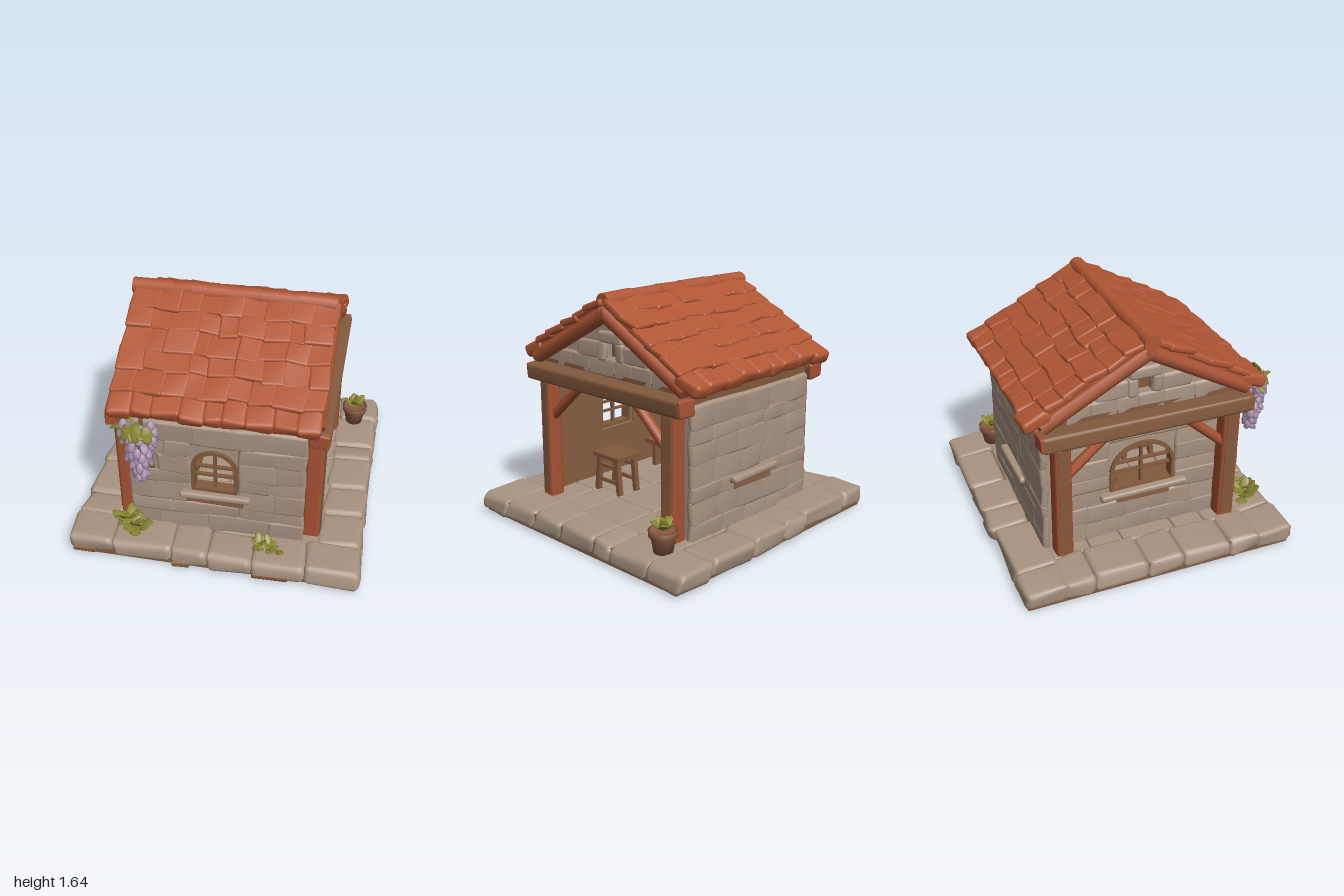
import * as THREE from 'three';
import { mergeGeometries, mergeVertices } from 'three/addons/utils/BufferGeometryUtils.js';
import { RoundedBoxGeometry } from 'three/addons/geometries/RoundedBoxGeometry.js';

const paint = (name, color) => Object.assign(new THREE.MeshStandardMaterial({ color }), { name });
const M = {
  stone: paint('stone', 0xa89381), roof: paint('roof tile', 0xb05634), redWood: paint('red wood', 0xa65233),
  wood: paint('wood', 0x835a3d), earth: paint('earth', 0x885d40), leaf: paint('leaf', 0x8a8732),
  flower: paint('blossom', 0xa890ac), cloth: paint('cloth', 0x86738a), pot: paint('clay', 0x8a5b41),
};

export function createModel() {
  const model = new THREE.Group();
  model.name = 'cottage';
  let seed = 7;
  const rnd = (a = 0, b = 1) => a + (b - a) * ((seed = (seed * 16807) % 2147483647) / 2147483647);
  const add = (name, geo, mat, parent = model) => {
    const mesh = new THREE.Mesh(Array.isArray(geo) ? mergeGeometries(geo) : geo, mat);
    mesh.name = name;
    parent.add(mesh);
    return mesh;
  };

  // Worn, slightly wavy rounded block
  const block = (w, h, d, x, y, z, { r = 0.02, rx = 0, rz = 0, seg = 1, wave = 0.005 } = {}) => {
    let g = new RoundedBoxGeometry(w, h, d, seg, Math.min(r, w / 2.1, h / 2.1, d / 2.1));
    g.deleteAttribute('uv');
    g.deleteAttribute('normal');
    g = mergeVertices(g, 1e-4);
    g.rotateZ(rz).rotateX(rx).translate(x, y, z);
    const p = g.attributes.position;
    for (let i = 0; i < p.count; i++) {
      const a = p.getX(i), b = p.getY(i), c = p.getZ(i);
      p.setXYZ(i, a + wave * Math.sin(b * 31 + c * 19), b + wave * Math.sin(a * 27 + c * 23), c + wave * Math.sin(a * 21 + b * 29));
    }
    g.computeVertexNormals();
    return g;
  };
  // Round pole between two points
  const pole = (a, b, r, sides = 10) => {
    const A = new THREE.Vector3(...a), B = new THREE.Vector3(...b), dir = B.clone().sub(A);
    const g = new THREE.CylinderGeometry(r, r, dir.length(), sides);
    g.applyQuaternion(new THREE.Quaternion().setFromUnitVectors(new THREE.Vector3(0, 1, 0), dir.normalize()));
    return g.translate(...A.add(B).multiplyScalar(0.5).toArray());
  };
  // Cut a span into n uneven pieces: [centre, length]
  const pieces = (a, b, n, jitter = 0.25) => {
    const cuts = [a];
    for (let i = 1; i < n; i++) cuts.push(a + (b - a) * (i + rnd(-jitter, jitter)) / n);
    cuts.push(b);
    return cuts.slice(1).map((c, i) => [(c + cuts[i]) / 2, c - cuts[i]]);
  };

  // Base: earth core, border stones, floor slabs and bare patches
  add('groundCore', new THREE.BoxGeometry(1.91, 0.12, 1.86).translate(0, 0.06, 0), M.earth);
  const base = [];
  const rim = { r: 0.045, seg: 2, wave: 0.01 };
  for (const s of [-1, 1]) {
    for (const [c, l] of pieces(-0.98, 0.98, 6)) {
      const d = rnd(0.27, 0.31), edge = c < -0.4 ? 0.953 : s < 0 ? 0.985 : 0.968;
      base.push(block(l + 0.012, 0.138, d, c, 0.08 + rnd(-0.005, 0.003), s * (edge - d / 2), rim));
    }
    for (const [c, l] of pieces(-0.7, 0.7, 5)) {
      const w = rnd(0.29, 0.32);
      base.push(block(w, 0.138, l + 0.012, s * (0.98 - w / 2), 0.08 + rnd(-0.005, 0.003), c, rim));
    }
  }
  for (const [z, d] of pieces(-0.71, 0.71, 5))
    for (const [x, w] of pieces(-0.7, 0.7, 4)) base.push(block(w, 0.05, d, x, 0.112, z, { r: 0.015 }));
  add('baseStones', base, M.stone);
  add('bareEarth', [[-0.87, 0.16, 0.955], [0.4, 0.24, 0.97], [-0.2, 0.12, 0.97]].map(([x, w, z]) =>
    block(w, 0.04, 0.02, x, 0.045, z, { r: 0.008 })), M.earth);

  // Arch outline, used for openings and frames
  const arch = (path, x, w, y0, y1, rise) => {
    path.moveTo(x - w / 2, y0).lineTo(x + w / 2, y0).lineTo(x + w / 2, y1 - rise);
    path.absellipse(x, y1 - rise, w / 2, rise, 0, Math.PI, false, 0);
    path.closePath();
    return path;
  };
  const extrude = (shape, depth, z) =>
    new THREE.ExtrudeGeometry(shape, { depth, bevelEnabled: false, curveSegments: 16 }).translate(0, 0, z);

  // Wall facing local +z, with optional arched window
  const wall = (name, u0, u1, win, sillX) => {
    const g = new THREE.Group();
    g.name = name;
    model.add(g);
    const shape = new THREE.Shape();
    shape.moveTo(u0, 0.12).lineTo(u1, 0.12).lineTo(u1, 1.01).lineTo(u0, 1.01).closePath();
    if (win) shape.holes.push(arch(new THREE.Path(), win.x, win.w, win.y0, win.y1, win.rise));
    add(name + 'Core', extrude(shape, 0.07, -0.07), M.stone, g);
    add(name + 'Lining', extrude(shape, 0.006, -0.077), M.earth, g);
    const stones = [];
    for (const [v, h] of pieces(0.13, 1.005, 7, 0.15)) {
      const cut = win && v + h / 2 > win.y0 && v - h / 2 < win.y1;
      const spans = cut ? [[u0, win.x - win.w / 2 - 0.014], [win.x + win.w / 2 + 0.014, u1]] : [[u0, u1]];
      for (const [a, b] of spans)
        for (const [c, l] of pieces(a, b, Math.max(1, Math.round((b - a) / 0.24))))
          stones.push(block(l + 0.024, h + 0.024, 0.05, c, v, rnd(-0.008, -0.001), { r: 0.02, wave: 0.005 }));
    }
    add(name + 'Stones', stones, M.stone, g);
    add(name + 'Sill', block(win ? win.w + 0.16 : 0.46, 0.05, 0.1, sillX, 0.455, 0.015, { seg: 2 }), M.stone, g);
    add(name + 'WornPatch', block(0.38, 0.045, 0.01, sillX, 0.405, 0.024, { r: 0.004 }), M.earth, g);
    if (win) {
      const frame = arch(new THREE.Shape(), win.x, win.w, win.y0, win.y1, win.rise);
      frame.holes.push(arch(new THREE.Path(), win.x, win.w - 0.05, win.y0 + 0.025, win.y1 - 0.025, win.rise - 0.025));
      add(name + 'WindowFrame', extrude(frame, 0.08, -0.06), M.wood, g);
      const bars = [new THREE.BoxGeometry(0.02, win.y1 - win.y0 - 0.02, 0.025).translate(win.x, (win.y0 + win.y1) / 2, -0.02)];
      for (const y of [0.6, 0.67]) bars.push(new THREE.BoxGeometry(win.w - 0.03, 0.015, 0.025).translate(win.x, y, -0.02));
      add(name + 'WindowBars', bars, M.wood, g);
    }
    return g;
  };
  const front = wall('frontWall', -0.58, 0.57, { x: -0.015, w: 0.31, y0: 0.48, y1: 0.82, rise: 0.15 }, -0.01);
  front.position.z = 0.685;
  add('vineWornPatch', block(0.11, 0.1, 0.01, -0.47, 0.68, 0.024, { r: 0.004 }), M.earth, front);
  const back = wall('backWall', -0.57, 0.58, null, 0);
  back.rotation.y = Math.PI;
  back.position.z = -0.685;
  const side = wall('sideWall', -0.6, 0.6, { x: 0, w: 0.46, y0: 0.47, y1: 0.82, rise: 0.2 }, 0);
  side.rotation.y = -Math.PI / 2;
  side.position.x = -0.565;
  add('innerWainscot', [block(0.008, 0.11, 1.2, -0.484, 0.41, 0, { r: 0.003, wave: 0.002 }),
    block(0.008, 0.1, 0.3, -0.484, 0.51, 0.4, { r: 0.003, wave: 0.002 })], M.stone);
  add('ceiling', new THREE.BoxGeometry(1.2, 0.1, 1.36).translate(0, 1.055, 0), M.wood);

  // Posts, beams, braces and gables on both ends
  for (const s of [-1, 1]) {
    const end = s > 0 ? 'left' : 'right';
    const posts = [], braces = [], grain = [];
    for (const t of [-1, 1]) {
      posts.push(block(0.115, 0.87, 0.115, s * 0.63, 0.55, t * 0.585, { r: 0.025, seg: 2 }));
      posts.push(block(0.13, 0.11, 0.03, s * 0.65, 1.025, t * 0.715, { r: 0.014, seg: 2 }));
      grain.push(block(0.008, 0.8, 0.075, s * 0.687, 0.56, t * 0.585, { r: 0.003 }));
      braces.push(pole([s * 0.63, 0.72, t * 0.55], [s * 0.63, 0.98, t * 0.26], 0.034));
    }
    add(end + 'Posts', posts, M.redWood);
    add(end + 'PostGrain', grain, M.wood);
    add(end + 'Braces', braces, M.redWood);
    add(end + 'Beam', block(0.135, 0.115, 1.44, s * 0.652, 1.022, 0, { r: 0.025, seg: 2 }), M.wood);

    const gable = new THREE.Group();
    gable.name = end + 'Gable';
    gable.rotation.y = s * Math.PI / 2;
    gable.position.x = s * 0.58;
    model.add(gable);
    const tri = new THREE.Shape();
    tri.moveTo(-0.66, 1.07).lineTo(0.66, 1.07).lineTo(0.66, 1.16).lineTo(0, 1.53).lineTo(-0.66, 1.16).closePath();
    tri.holes.push(new THREE.Path().moveTo(-0.045, 1.2).lineTo(0.045, 1.2).lineTo(0.045, 1.3).lineTo(-0.045, 1.3).closePath());
    add('gableCore', extrude(tri, 0.06, -0.06), M.stone, gable);
    add('gableNiche', new THREE.BoxGeometry(0.12, 0.13, 0.008).translate(0, 1.25, -0.045), M.wood, gable);
    const stones = [block(0.22, 0.08, 0.06, 0, 1.338, -0.002)];
    for (const t of [-1, 1])
      stones.push(block(0.075, 0.13, 0.06, t * 0.084, 1.245, -0.002), block(0.22, 0.12, 0.05, t * 0.22, 1.24, -0.008));
    for (const [c, l] of pieces(-0.53, 0.53, 6)) stones.push(block(l + 0.02, 0.13, 0.05, c, 1.13, -0.006));
    add('gableStones', stones, M.stone, gable);
  }

  // Roof: decks, overlapping tile rows with a thick eave row, rafters and ridge
  const pitch = Math.atan(0.55), slope = 0.78 / Math.cos(pitch);
  for (const s of [1, -1]) {
    const turn = s > 0 ? 0 : Math.PI;
    const onSlope = (g) => g.rotateX(pitch).translate(0, 1.5, 0).rotateY(turn);
    add('roofDeck', onSlope(new THREE.BoxGeometry(1.3, 0.045, slope).translate(0, 0.048, slope / 2 - 0.02)), M.roof);
    const tiles = [], rows = 6, step = slope / rows;
    for (let i = 0; i < rows; i++) {
      const eave = i === rows - 1;
      for (const [x, w] of pieces(-0.665 + rnd(-0.01, 0.01), 0.66 + rnd(-0.01, 0.01), 9, 0.25)) {
        const len = step + 0.05, z = (i + 1) * step - len / 2 + rnd(-0.015, 0.015);
        tiles.push(onSlope(block(w + 0.018, eave ? 0.09 : 0.048, len, x, (eave ? 0.06 : 0.083) + rnd(-0.005, 0.005), z,
          { rx: -0.09 + rnd(-0.03, 0.03), rz: rnd(-0.05, 0.05), r: eave ? 0.03 : 0.018, seg: 2, wave: 0.006 })));
      }
    }
    add('roofTiles', tiles, M.roof);
    add('rafters', [-0.63, 0.63].map((x) => pole([x, 1.515, -s * 0.03], [x, 1.115, s * 0.7], 0.052)), M.redWood);
  }
  add('ridgeTiles', pieces(-0.685, 0.655, 6).map(([x, l]) => {
    const tilt = rnd(-0.004, 0.004);
    return pole([x - l / 2 - 0.004, 1.578 + tilt, 0], [x + l / 2, 1.578 - tilt, 0], rnd(0.054, 0.058), 14);
  }), M.roof);

  // Furniture inside
  const box = (w, h, d, x, y, z) => new THREE.BoxGeometry(w, h, d).translate(x, y, z);
  const stool = [box(0.22, 0.03, 0.26, 0.28, 0.405, 0.3)];
  for (const a of [-1, 1]) {
    for (const b of [-1, 1])
      stool.push(box(0.035, 0.28, 0.035, 0, 0, 0).rotateX(-b * 0.1).translate(0.28 + a * 0.08, 0.26, 0.3 + b * 0.1));
    for (const y of [0.22, 0.33]) stool.push(box(0.02, 0.022, 0.22, 0.28 + a * 0.08, y, 0.3));
  }
  add('stool', stool, M.wood);
  add('table', [box(0.26, 0.035, 0.86, -0.34, 0.335, 0.08), box(0.2, 0.2, 0.03, -0.35, 0.23, -0.32),
    box(0.2, 0.2, 0.03, -0.35, 0.23, 0.46), box(0.02, 0.18, 0.8, -0.44, 0.23, 0.08)], M.wood);
  add('counter', [box(0.72, 0.24, 0.2, 0.02, 0.25, -0.5), box(0.2, 0.06, 0.01, -0.14, 0.31, -0.396), box(0.2, 0.06, 0.01, 0.18, 0.31, -0.396)], M.wood);
  add('counterTop', block(0.76, 0.03, 0.24, 0.02, 0.385, -0.49, { r: 0.01 }), M.stone);
  add('shelves', [box(0.6, 0.02, 0.2, 0, 0.615, -0.5), box(0.6, 0.02, 0.12, 0, 0.8, -0.54)], M.wood);
  add('hangingCloth', box(0.4, 0.195, 0.008, 0, 0.503, -0.59), M.cloth);
  const jar = (x, y, z, k) => new THREE.LatheGeometry(
    [[0, 0], [0.035, 0], [0.045, 0.03], [0.042, 0.06], [0.022, 0.09], [0.028, 0.115], [0, 0.115]]
      .map(([a, b]) => new THREE.Vector2(a * k, b * k)), 12).translate(x, y, z);
  add('jars', [jar(-0.32, 0.352, -0.13, 1.1), jar(0.27, 0.4, -0.46, 0.9), jar(-0.1, 0.625, -0.47, 1),
    jar(0.06, 0.625, -0.47, 1), jar(0.2, 0.625, -0.47, 1), jar(-0.2, 0.81, -0.54, 0.8), jar(0.1, 0.81, -0.54, 0.9)], M.wood);

  // Plants: leaves fanned from a root
  const leaf = (len, w, up, yaw, x, y, z) => new THREE.SphereGeometry(1, 8, 6).scale(w, 0.009, len / 2)
    .translate(0, 0, len / 2).rotateX(-up).rotateY(yaw).translate(x, y, z);
  const bush = (n, len, x, y, z, spread, lo, hi) => Array.from({ length: n }, (_, i) =>
    leaf(len * rnd(0.8, 1.1), len * 0.3, rnd(lo, hi), i * 2.4, x + rnd(-spread, spread), y, z + rnd(-0.4, 0.4) * spread));
  add('cornerBush', bush(18, 0.13, -0.56, 0.165, 0.81, 0.06, 0.1, 1), M.leaf);
  add('cornerBushSprig', bush(7, 0.12, -0.6, 0.21, 0.78, 0.03, 0.4, 1.2), M.leaf);
  add('smallBush', bush(14, 0.085, 0.36, 0.16, 0.825, 0.065, 0.1, 0.8), M.leaf);
  add('flowerPot', new THREE.LatheGeometry([[0, 0], [0.062, 0], [0.078, 0.1], [0.092, 0.105], [0.094, 0.145], [0.078, 0.145], [0.074, 0.125], [0, 0.125]]
    .map(([a, b]) => new THREE.Vector2(a, b)), 18).translate(0.805, 0.148, -0.675), M.pot);
  add('potPlant', [...bush(6, 0.1, 0.805, 0.29, -0.675, 0.006, 0.45, 0.75), ...bush(3, 0.095, 0.805, 0.285, -0.675, 0.006, 1, 1.3)], M.leaf);

  // Hanging blossom clusters under the eave, topped with broad leaves
  const petals = [];
  for (const [cx, cz, top, bottom, rad, n] of [[-0.46, 0.855, 1.06, 0.64, 0.095, 62], [-0.545, 0.85, 1.1, 0.96, 0.035, 10], [-0.37, 0.85, 1.11, 0.92, 0.04, 13]])
    for (let i = 0; i < n; i++) {
      const t = i / n, r = rad * Math.min(1, 0.55 + t * 2) * Math.pow(1 - t, 0.4) * rnd(0.5, 1.2), a = i * 2.4;
      petals.push(new THREE.SphereGeometry(1, 7, 5).scale(0.028, 0.039, 0.016).rotateX(rnd(-0.8, -0.2)).rotateY(a)
        .translate(cx + r * Math.sin(a), top + (bottom + 0.03 - top) * t, cz + r * Math.cos(a) * 0.85));
    }
  add('hangingBlossoms', petals, M.flower);
  add('hangingLeaves', [...bush(12, 0.09, -0.45, 1.08, 0.865, 0.055, -0.8, 0.5),
    ...[-0.51, -0.45, -0.39].map((x, i) => leaf(0.12, 0.036, -1.2, (i - 1) * 0.5, x, 1.13, 0.895)),
    ...bush(4, 0.075, -0.58, 1.07, 0.83, 0.02, -0.5, 0.4)], M.leaf);
  add('vineStem', pole([-0.46, 1.12, 0.76], [-0.465, 0.75, 0.85], 0.012, 6), M.wood);
  return model;
}
